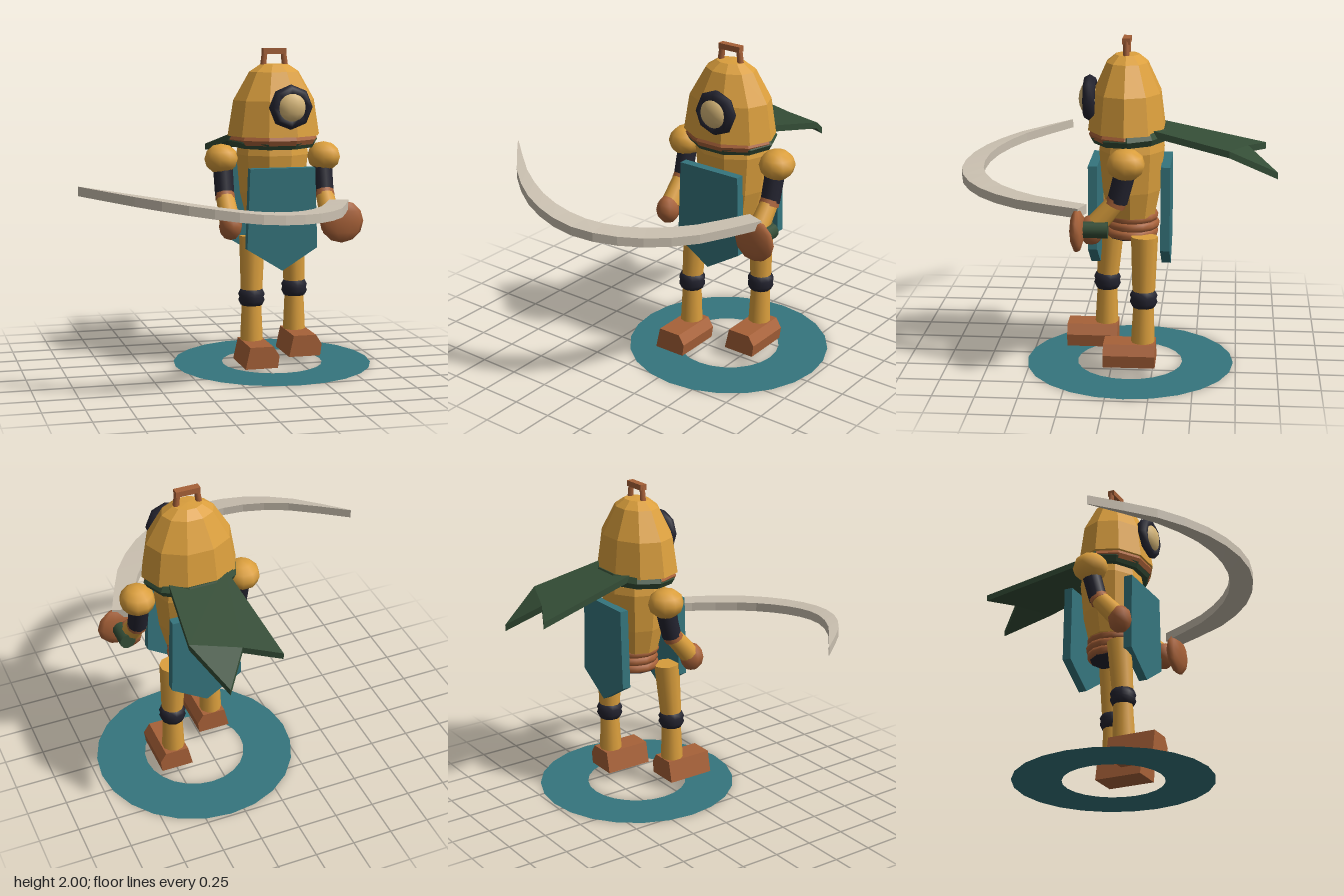
import * as THREE from 'three';

const V = (x, y, z) => new THREE.Vector3(x, y, z);
const mat = (name, color) => {
  const m = new THREE.MeshStandardMaterial({ color });
  m.name = name;
  return m;
};
// one normal per face
const flat = (g) => {
  const f = g.index ? g.toNonIndexed() : g;
  f.computeVertexNormals();
  return f;
};

export function createModel() {
  const brass = mat('brass', 0xdb9f3d), copper = mat('copper', 0xa76138);
  const rubber = mat('dark rubber', 0x23232f), teal = mat('teal cloth', 0x35757d);
  const green = mat('green cloth', 0x344d36), glass = mat('cream glass', 0xd6b678);
  const steel = mat('pale steel', 0xcac0b0);
  teal.side = THREE.DoubleSide;

  const model = new THREE.Group();
  const CX = 0.337;
  const add = (name, geo, material, x = 0, y = 0, z = 0) => {
    const m = new THREE.Mesh(geo, material);
    m.name = name;
    m.position.set(x, y, z);
    model.add(m);
    return m;
  };
  // tapered tube between two points
  const limb = (name, a, b, ra, rb, material, sides = 10) => {
    const g = new THREE.CylinderGeometry(rb, ra, a.distanceTo(b), sides);
    const m = add(name, g, material);
    m.position.copy(a).add(b).multiplyScalar(0.5);
    m.quaternion.setFromUnitVectors(V(0, 1, 0), b.clone().sub(a).normalize());
    return m;
  };
  // ten-sided turned shape, profile listed bottom to top
  const turned = (pts, squashZ) => {
    const g = new THREE.LatheGeometry(pts.map(p => new THREE.Vector2(...p)), 10, Math.PI / 2);
    return flat(g.scale(1, 1, squashZ));
  };

  // ground ring
  add('groundRing', new THREE.RingGeometry(0.32, 0.63, 24).rotateX(-Math.PI / 2), teal, CX, 0, -0.105);

  // helmet with lifting handle
  add('helmet', turned([[0, 1.46], [0.298, 1.46], [0.262, 1.68], [0.16, 1.855], [0.09, 1.9], [0, 1.905]], 0.79),
    brass, CX, 0, -0.085);
  for (const s of [-1, 1])
    limb('handlePost', V(CX + s * 0.072, 1.88, -0.083), V(CX + s * 0.06, 1.98, -0.083), 0.02, 0.018, copper, 6);
  add('handleBar', new THREE.BoxGeometry(0.15, 0.035, 0.045), copper, CX, 1.982, -0.083);

  // porthole
  add('portholeRim', new THREE.TorusGeometry(0.1, 0.04, 6, 8), rubber, 0.385, 1.645, 0.13);
  add('portholeGlass', new THREE.SphereGeometry(0.1, 10, 8).scale(1, 1, 0.62), glass, 0.385, 1.645, 0.135);

  // collar and scarf
  const ringGeo = (r, t) => flat(new THREE.TorusGeometry(r, t, 6, 10).rotateX(Math.PI / 2).scale(1, 1, 0.82));
  add('collar', ringGeo(0.25, 0.035), copper, CX, 1.437, -0.088);
  const scarf = add('scarfRing', ringGeo(0.25, 0.042), green, CX, 1.428, -0.105);
  scarf.rotation.x = 0.05;
  const tail = new THREE.Shape([[0.165, 0.22], [0.52, 0.22], [0.575, 0.69], [0.44, 0.975], [0.295, 0.8], [0.09, 0.91]]
    .map(p => new THREE.Vector2(...p)));
  const tailGeo = new THREE.ExtrudeGeometry(tail, { depth: 0.04, bevelEnabled: false }).rotateX(-Math.PI / 2);
  const tp = tailGeo.attributes.position;
  for (let i = 0; i < tp.count; i++) {
    const t = -tp.getZ(i) - 0.3;
    const droop = tp.getX(i) > 0.3 ? Math.max(0, t - 0.5) * 0.5 : 0;
    tp.setY(i, tp.getY(i) + 1.43 - 0.23 * t - droop);
  }
  add('scarfTail', flat(tailGeo), green);

  // torso, waist coils and pelvis
  add('torso', turned([[0, 0.94], [0.17, 0.94], [0.21, 1.1], [0.235, 1.34], [0.225, 1.39], [0, 1.39]], 0.85),
    brass, CX, 0, -0.115);
  [0.93, 0.88, 0.83].forEach((y, i) =>
    add('waistCoil', new THREE.TorusGeometry(0.13, 0.03, 8, 14).rotateX(Math.PI / 2), copper,
      CX, y, -0.115 - 0.008 * (i % 2)));
  add('pelvis', new THREE.CylinderGeometry(0.13, 0.14, 0.18, 10), rubber, CX, 0.89, -0.115);

  // cloth panels, front and back
  const panel = new THREE.Shape([[-0.225, 0.77], [0, 0.63], [0.225, 0.77], [0.208, 1.27], [-0.208, 1.27]]
    .map(p => new THREE.Vector2(...p)));
  const panelGeo = new THREE.ExtrudeGeometry(panel, { depth: 0.055, bevelEnabled: false });
  add('frontPanel', panelGeo, teal, CX, 0, 0.075);
  add('backPanel', panelGeo, teal, CX, 0, -0.35);

  // legs in mid-stride
  const sole = new THREE.Shape([[-0.1, 0.055], [0.105, 0.055], [0.115, 0.13], [0.077, 0.19], [-0.07, 0.19]]
    .map(p => new THREE.Vector2(...p)));
  const footGeo = new THREE.ExtrudeGeometry(sole, { depth: 0.31, bevelEnabled: false });
  const kneeGeo = new THREE.LatheGeometry([[0.05, -0.05], [0.068, -0.05], [0.083, -0.02], [0.076, 0], [0.083, 0.02],
    [0.068, 0.05], [0.05, 0.05]].map(p => new THREE.Vector2(...p)), 10);
  for (const [x, zHip, zKnee, zFoot] of [[0.16, 0.02, 0.048, -0.02], [0.511, -0.2, -0.197, -0.27]]) {
    limb('thigh', V(x, 0.46, zKnee), V(x + (x < CX ? 0.01 : -0.01), 0.84, zHip), 0.066, 0.08, brass);
    add('knee', kneeGeo, rubber, x, 0.46, zKnee);
    limb('shin', V(x, 0.17, zKnee + 0.004), V(x, 0.44, zKnee), 0.072, 0.06, brass);
    add('foot', footGeo, copper, x, 0, zFoot);
  }

  // arms, mirrored
  for (const s of [-1, 1]) {
    const x = CX + s * 0.325;
    add('shoulder', new THREE.SphereGeometry(0.108, 10, 6).scale(1, 0.87, 1.06), brass, CX + s * 0.335, 1.315, -0.1);
    limb('upperArm', V(x, 1.28, -0.1), V(x, 1.09, -0.05), 0.062, 0.06, rubber);
    limb('elbow', V(x, 1.115, -0.057), V(x, 1.07, -0.035), 0.058, 0.062, copper);
    limb('forearm', V(x, 1.09, -0.045), V(x, 0.95, 0.075), 0.056, 0.064, brass);
    add('hand', new THREE.SphereGeometry(0.074, 8, 6).scale(1, 1.2, 1.05), copper, x, 0.92, 0.1);
  }

  // sword hilt
  limb('swordGrip', V(0.712, 0.935, 0), V(0.712, 0.935, 0.15), 0.05, 0.05, green);
  add('swordGuard', new THREE.SphereGeometry(0.14, 10, 6).scale(1, 0.95, 0.31), copper, 0.706, 0.933, 0.178);

  // curved blade: four-cornered sections between an outer and an inner edge
  const outer = new THREE.CatmullRomCurve3([V(0.75, 1.04, 0.17), V(0.55, 1.045, 0.6), V(0.29, 1.06, 0.86),
    V(-0.02, 1.085, 0.975), V(-0.335, 1.125, 0.925), V(-0.65, 1.165, 0.73), V(-0.97, 1.2, 0.38)]);
  const inner = new THREE.CatmullRomCurve3([V(0.64, 1.04, 0.13), V(0.455, 1.045, 0.49), V(0.225, 1.06, 0.73),
    V(-0.02, 1.085, 0.838), V(-0.3, 1.125, 0.825), V(-0.595, 1.165, 0.685), V(-0.968, 1.2, 0.376)]);
  const N = 14, pos = [], idx = [];
  for (let i = 0; i <= N; i++) {
    const o = outer.getPoint(i / N), n = inner.getPoint(i / N), h = 0.028;
    pos.push(o.x, o.y + h, o.z, o.x, o.y - h, o.z, n.x, n.y - h, n.z, n.x, n.y + h, n.z);
    if (i === N) break;
    for (let k = 0; k < 4; k++) {
      const a = i * 4 + k, b = i * 4 + (k + 1) % 4;
      idx.push(a, b, a + 4, b, b + 4, a + 4);
    }
  }
  const e = N * 4;
  idx.push(0, 2, 1, 0, 3, 2, e, e + 1, e + 2, e, e + 2, e + 3);
  const blade = new THREE.BufferGeometry();
  blade.setAttribute('position', new THREE.Float32BufferAttribute(pos, 3));
  blade.setIndex(idx);
  steel.side = THREE.DoubleSide;
  add('swordBlade', flat(blade), steel);

  return model;
}
